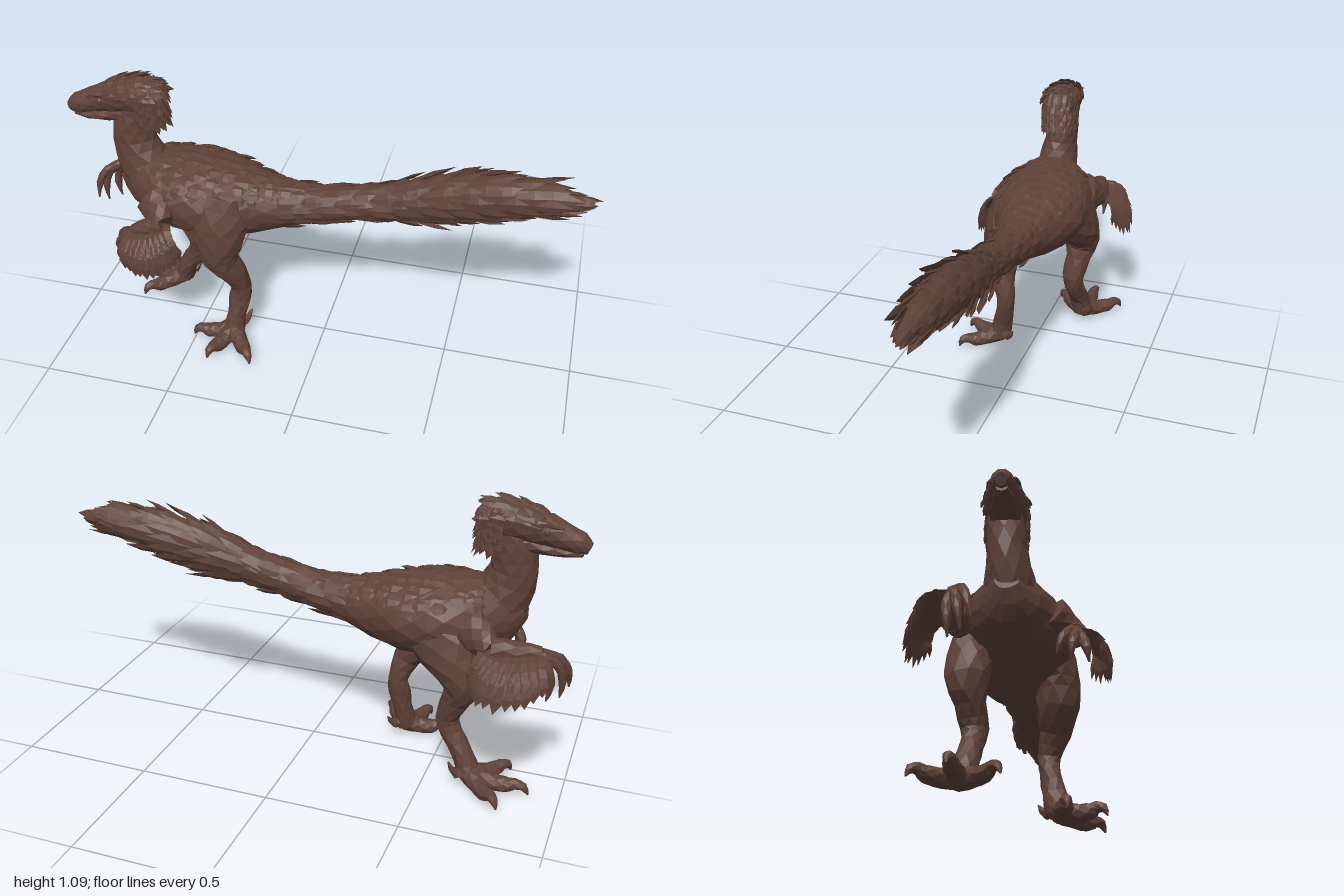
import * as THREE from 'three';
import { mergeGeometries } from 'three/addons/utils/BufferGeometryUtils.js';

const brown = new THREE.MeshStandardMaterial({ color: 0x5f4238, flatShading: true, side: THREE.DoubleSide });
brown.name = 'warm brown';
const V = (x, y, z) => new THREE.Vector3(x, y, z);

let seed = 7;
const rand = () => (seed = (seed * 16807) % 2147483647) / 2147483647;
const jitter = (a) => (rand() * 2 - 1) * a;

// Smooth sampler through sections [x, y, z, sideRadius, otherRadius]
function sampler(sections) {
  const path = new THREE.CatmullRomCurve3(sections.map((s) => V(s[0], s[1], s[2])));
  const radii = new THREE.CatmullRomCurve3(sections.map((s) => V(s[3], s[4] ?? s[3], 0)));
  const chord = path.getPoint(1).sub(path.getPoint(0)).normalize();
  const ref = Math.abs(chord.z) > 0.7 ? V(1, 0, 0) : V(0, 0, 1);
  return (t) => {
    const T = path.getTangent(t), r = radii.getPoint(t);
    const S = ref.clone().addScaledVector(T, -ref.dot(T)).normalize();
    const N = T.clone().cross(S);
    const rs = Math.max(r.x, 0.002), rn = Math.max(r.y, 0.002), p = path.getPoint(t);
    return {
      p,
      at: (a) => p.clone().addScaledVector(S, Math.cos(a) * rs).addScaledVector(N, Math.sin(a) * rn),
      out: (a) => S.clone().multiplyScalar(Math.cos(a) / rs).addScaledVector(N, Math.sin(a) / rn).normalize(),
    };
  };
}

// Closed faceted skin over the sections
function loft(name, sections, sides = 8, steps = 2, rough = 0) {
  const sample = sampler(sections), rings = (sections.length - 1) * steps;
  const pos = [], index = [];
  for (let i = 0; i <= rings; i++) {
    const s = sample(i / rings);
    for (let j = 0; j < sides; j++) {
      const a = ((j + (i % 2) * 0.5) / sides) * Math.PI * 2;
      pos.push(...s.at(a).addScaledVector(s.out(a), jitter(rough)).toArray());
      if (i === rings) continue;
      const k = (j + 1) % sides, A = i * sides + j, B = i * sides + k;
      if (i % 2) index.push(A, B, B + sides, A, B + sides, A + sides);
      else index.push(A, B, A + sides, B, B + sides, A + sides);
    }
  }
  const c = pos.length / 3, last = rings * sides;
  pos.push(...sample(0).p.toArray(), ...sample(1).p.toArray());
  for (let j = 0; j < sides; j++) {
    const k = (j + 1) % sides;
    index.push(c, k, j, c + 1, last + j, last + k);
  }
  const g = new THREE.BufferGeometry();
  g.setAttribute('position', new THREE.Float32BufferAttribute(pos, 3));
  g.setIndex(index);
  g.computeVertexNormals();
  return named(name, g);
}

function named(name, geometry) {
  const mesh = new THREE.Mesh(geometry, brown);
  mesh.name = name;
  return mesh;
}

// One leaf-shaped feather from base to tip
const blade = new THREE.LatheGeometry(
  [[0, 0], [0.8, 0.25], [1, 0.65], [0, 1]].map((p) => new THREE.Vector2(...p)), 4);
function feather(base, tip, normal, width, thick = 0.007) {
  const Y = tip.clone().sub(base);
  const X = Y.clone().cross(normal).normalize();
  const Z = X.clone().cross(Y).normalize();
  const m = new THREE.Matrix4().makeBasis(X.multiplyScalar(width), Y, Z.multiplyScalar(thick)).setPosition(base);
  return blade.clone().applyMatrix4(m);
}

// Overlapping rows of feathers that follow a lofted skin
function coat(name, sections, o) {
  const sample = sampler(sections), list = [];
  for (let i = 0; i < o.rows; i++) {
    const t = o.from + ((o.to - o.from) * i) / (o.rows - 1);
    const s = sample(t), next = sample(t + 0.012);
    for (let j = 0; j < o.count; j++) {
      const a = o.mid + ((j + (i % 2) * 0.5 + 0.25) / o.count - 0.5) * o.arc + jitter(0.12);
      const out = s.out(a), base = s.at(a), along = next.at(a).sub(base).normalize();
      base.addScaledVector(out, -0.004);
      const len = o.length * (1 + jitter(0.3));
      const tip = base.clone().addScaledVector(along, len).addScaledVector(out, len * (o.lift + jitter(0.08)));
      list.push(feather(base, tip, out, o.width));
    }
  }
  return named(name, mergeGeometries(list));
}

const trunk = [
  [-0.80, 0.68, 0, 0.04, 0.04], [-0.73, 0.66, 0, 0.105, 0.115], [-0.62, 0.64, -0.005, 0.175, 0.14],
  [-0.50, 0.62, -0.005, 0.205, 0.155], [-0.38, 0.61, -0.005, 0.19, 0.148], [-0.26, 0.61, -0.005, 0.135, 0.12],
  [-0.15, 0.618, -0.005, 0.095, 0.09], [0.02, 0.645, -0.005, 0.074, 0.066], [0.25, 0.69, -0.005, 0.066, 0.072],
  [0.5, 0.752, -0.005, 0.078, 0.086], [0.75, 0.798, -0.005, 0.06, 0.064], [0.94, 0.808, -0.005, 0.018, 0.02]];
const skull = [
  [-0.998, 0.925, 0, 0.02, 0.022], [-0.965, 0.94, 0, 0.038, 0.042], [-0.90, 0.963, -0.005, 0.048, 0.05],
  [-0.82, 0.985, -0.01, 0.062, 0.064], [-0.74, 1.0, -0.012, 0.074, 0.068], [-0.67, 1.0, -0.012, 0.07, 0.062],
  [-0.63, 0.995, -0.012, 0.045, 0.04]];

function head() {
  const g = new THREE.Group();
  g.name = 'head';
  g.add(loft('skull', skull, 10, 2));
  g.add(loft('lowerJaw', [[-0.978, 0.908, 0, 0.02, 0.014], [-0.92, 0.908, 0, 0.038, 0.02],
    [-0.84, 0.92, -0.005, 0.05, 0.03], [-0.75, 0.94, -0.01, 0.058, 0.04]], 8));
  for (const s of [-1, 1]) {
    const eye = named('eye', new THREE.SphereGeometry(0.014, 8, 6));
    eye.position.set(-0.855, 0.985, -0.008 + s * 0.047);
    g.add(eye, loft('brow', [[-0.91, 0.995, s * 0.036, 0.004], [-0.86, 1.012, -0.008 + s * 0.046, 0.012],
      [-0.79, 1.02, -0.01 + s * 0.055, 0.005]], 5));
  }
  g.add(coat('crown', skull, { from: 0.45, to: 0.8, rows: 5, count: 8, mid: -Math.PI / 2, arc: 3.0, length: 0.085, lift: 0.14, width: 0.018 }));
  // Ruff hanging behind the head
  const list = [];
  for (let row = 0; row < 5; row++) for (let i = 0; i < 10; i++) {
    const a = -1.6 + (3.2 * (i + (row % 2) * 0.4)) / 9.4, c = Math.cos(a), s = Math.sin(a);
    const base = V(-0.70 + 0.06 * c, 1.06 - row * 0.027, -0.012 + 0.068 * s);
    const tip = base.clone().add(V(0.04 * c + 0.005, -0.075 + jitter(0.02), 0.008 * s));
    list.push(feather(base, tip, V(c, 0.3, s), 0.016));
  }
  g.add(named('ruff', mergeGeometries(list)));
  return g;
}

// Arm with a domed fan of overlapping feathers and three clawed fingers
function arm(name, { shoulder, elbow, wrist, bulge, fan, fingers }) {
  const g = new THREE.Group();
  g.name = name;
  const H = V(...shoulder), E = V(...elbow), W = V(...wrist);
  g.add(loft('upperArm', [[...shoulder, 0.05, 0.08], [...H.clone().lerp(E, 0.5).toArray(), 0.045, 0.068], [...elbow, 0.042]], 8));
  g.add(loft('forearm', [[...elbow, 0.042], [...E.clone().lerp(W, 0.5).toArray(), 0.038], [...wrist, 0.026]], 8));
  const edge = new THREE.CatmullRomCurve3(fan.map((p) => V(...p))), dome = V(...bulge), list = [];
  const surface = (t, u) => E.clone().lerp(W, t * 0.95).lerp(edge.getPoint(t), u).addScaledVector(dome, 4 * u * (1 - u));
  for (const [from, to, n] of [[0.45, 1, 11], [0.28, 0.8, 10], [0.12, 0.6, 9], [0, 0.4, 8]]) for (let i = 0; i < n; i++) {
    const t = i / (n - 1);
    list.push(feather(surface(t, from), surface(t, to * (1 + jitter(0.04))), dome, 0.026, 0.01));
  }
  g.add(named('armFeathers', mergeGeometries(list)));
  for (const [knuckle, tip] of fingers) {
    const bend = V(...knuckle).lerp(V(...tip), 0.55).add(V(-0.012, 0.01, 0));
    g.add(loft('finger', [[...wrist, 0.02], [...knuckle, 0.018], [...bend.toArray(), 0.015], [...tip, 0.003]], 6));
  }
  return g;
}

// Leg with three spread toes and a small hind claw
function leg(name, sections, toes, hind) {
  const g = new THREE.Group();
  g.name = name;
  g.add(loft('shank', sections, 9, 2, 0.003));
  const [x, , z] = sections[sections.length - 1], ankle = V(x, 0.055, z);
  for (const [tx, tz] of toes) {
    const at = (k, y, r) => [...ankle.clone().lerp(V(tx, 0, tz), k).setY(y).toArray(), r];
    g.add(loft('toe', [at(0, 0.055, 0.042), at(0.32, 0.04, 0.033), at(0.62, 0.037, 0.03), at(0.78, 0.048, 0.021), at(0.92, 0.042, 0.016), at(1, 0.014, 0.003)], 7));
  }
  const mid = ankle.clone().lerp(V(...hind), 0.6).setY(0.06);
  g.add(loft('hindClaw', [[x, 0.08, z, 0.025], [...mid.toArray(), 0.02], [...hind, 0.003]], 6));
  return g;
}

export function createModel() {
  const model = new THREE.Group();
  model.name = 'featheredDinosaur';
  model.add(loft('bodyAndTail', trunk, 14, 2, 0.003));
  model.add(loft('neck', [[-0.66, 0.63, 0, 0.11, 0.12], [-0.72, 0.73, 0, 0.085, 0.105],
    [-0.748, 0.82, -0.005, 0.068, 0.086], [-0.745, 0.9, -0.01, 0.066, 0.082], [-0.73, 0.97, -0.012, 0.06, 0.07]], 10, 2, 0.002));
  model.add(coat('backFeathers', trunk, { from: 0.13, to: 0.53, rows: 10, count: 8, mid: -Math.PI / 2, arc: 2.3, length: 0.075, lift: 0.07, width: 0.024 }));
  model.add(coat('tailBaseFeathers', trunk, { from: 0.53, to: 0.73, rows: 8, count: 8, mid: 0, arc: Math.PI * 2, length: 0.11, lift: 0.1, width: 0.022 }));
  model.add(coat('tailFeathers', trunk, { from: 0.73, to: 0.92, rows: 11, count: 8, mid: 0, arc: Math.PI * 2, length: 0.145, lift: 0.19, width: 0.024 }));
  model.add(coat('tailTip', trunk, { from: 0.92, to: 0.98, rows: 4, count: 6, mid: 0, arc: Math.PI * 2, length: 0.1, lift: 0.13, width: 0.016 }));
  model.add(head());

  model.add(arm('foldedArm', {
    shoulder: [-0.64, 0.65, 0.14], elbow: [-0.57, 0.595, 0.21], wrist: [-0.695, 0.54, 0.215], bulge: [0, 0.03, 0.045],
    fan: [[-0.50, 0.47, 0.26], [-0.55, 0.42, 0.305], [-0.63, 0.405, 0.325], [-0.71, 0.42, 0.30]],
    fingers: [[[-0.745, 0.51, 0.19], [-0.77, 0.42, 0.155]], [[-0.75, 0.49, 0.21], [-0.765, 0.405, 0.20]], [[-0.735, 0.48, 0.24], [-0.735, 0.405, 0.255]]],
  }));
  model.add(arm('reachingArm', {
    shoulder: [-0.63, 0.64, -0.15], elbow: [-0.72, 0.59, -0.19], wrist: [-0.89, 0.585, -0.155], bulge: [0, 0.03, -0.045],
    fan: [[-0.665, 0.47, -0.26], [-0.71, 0.42, -0.315], [-0.83, 0.43, -0.32], [-0.92, 0.48, -0.27]],
    fingers: [[[-0.95, 0.56, -0.12], [-0.985, 0.44, -0.085]], [[-0.95, 0.54, -0.14], [-0.96, 0.41, -0.12]], [[-0.92, 0.53, -0.17], [-0.92, 0.41, -0.165]]],
  }));

  model.add(leg('trailingLeg', [
    [-0.37, 0.69, 0.10, 0.06, 0.08], [-0.39, 0.59, 0.125, 0.08, 0.125], [-0.385, 0.50, 0.138, 0.078, 0.10],
    [-0.385, 0.42, 0.137, 0.076, 0.075], [-0.34, 0.34, 0.123, 0.053, 0.054], [-0.315, 0.26, 0.10, 0.042, 0.04],
    [-0.322, 0.20, 0.105, 0.037, 0.045], [-0.335, 0.12, 0.118, 0.042, 0.038], [-0.345, 0.05, 0.135, 0.045, 0.045]],
  [[-0.505, 0.17], [-0.41, 0.295], [-0.235, 0.285]], [-0.29, 0.10, 0.06]));
  model.add(leg('leadingLeg', [
    [-0.50, 0.67, -0.10, 0.06, 0.08], [-0.53, 0.58, -0.13, 0.08, 0.125], [-0.58, 0.50, -0.145, 0.078, 0.10],
    [-0.62, 0.42, -0.145, 0.076, 0.07], [-0.60, 0.34, -0.137, 0.055, 0.054], [-0.57, 0.26, -0.125, 0.046, 0.044],
    [-0.588, 0.20, -0.13, 0.038, 0.044], [-0.64, 0.12, -0.14, 0.042, 0.038], [-0.665, 0.05, -0.15, 0.045, 0.045]],
  [[-0.89, -0.16], [-0.80, -0.295], [-0.80, -0.012]], [-0.60, 0.115, -0.205]));
  return model;
}
